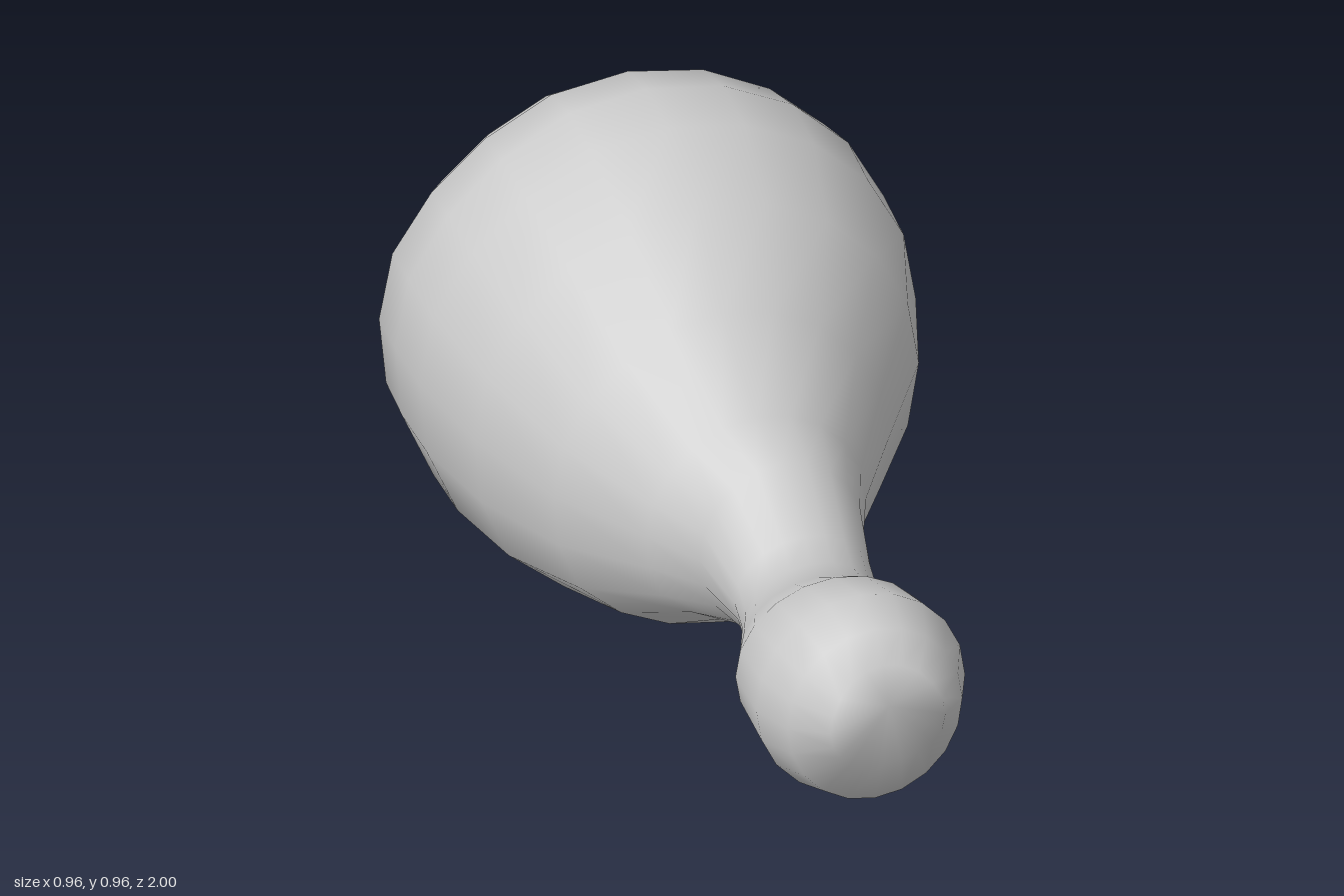
import * as THREE from 'three';

const SIDES = 20;

// Cross-sections from bone tip to meat end: z, xMin, xMax, yMin, yMax
const RINGS = [
  [0.985, -0.11, 0.11, 0.43, 0.65],
  [0.91, -0.165, 0.17, 0.315, 0.69],
  [0.83, -0.2, 0.2, 0.28, 0.715],
  [0.7, -0.2, 0.18, 0.305, 0.67],
  [0.6, -0.16, 0.14, 0.33, 0.605],
  [0.5, -0.125, 0.14, 0.335, 0.565],
  [0.42, -0.115, 0.15, 0.33, 0.57],
  [0.3, -0.145, 0.17, 0.29, 0.655],
  [0.2, -0.215, 0.205, 0.25, 0.695],
  [0, -0.33, 0.31, 0.11, 0.795],
  [-0.2, -0.42, 0.43, 0.03, 0.9],
  [-0.38, -0.47, 0.48, 0.005, 0.955],
  [-0.5, -0.48, 0.48, 0.005, 0.965],
  [-0.6, -0.48, 0.47, 0.03, 0.94],
  [-0.7, -0.42, 0.42, 0.06, 0.865],
  [-0.8, -0.35, 0.35, 0.11, 0.785],
  [-0.9, -0.23, 0.25, 0.23, 0.69],
  [-0.97, -0.1, 0.12, 0.38, 0.6],
];
const SPLIT = 6; // ring where bone meets meat

// Smooth bump around an angle in degrees
const bump = (a, deg, width) => {
  const d = Math.atan2(Math.sin(a - deg * Math.PI / 180), Math.cos(a - deg * Math.PI / 180));
  return Math.exp(-((d / width) ** 2));
};

function ringPoint([z, x0, x1, y0, y1], j) {
  const a = (j / SIDES) * Math.PI * 2;
  let r = 1;
  if (z < 0.3) {
    // Fuller lower left side, flatter upper left
    r += 0.05 * bump(a, 215, 0.35) - 0.03 * bump(a, 135, 0.3);
    // Sunken patch behind a ridge on the upper back
    r -= 0.11 * bump(a, 45, 0.5) * Math.exp(-(((z + 0.76) / 0.13) ** 2));
  }
  return [
    (x0 + x1) / 2 + (x1 - x0) / 2 * r * Math.cos(a),
    (y0 + y1) / 2 + (y1 - y0) / 2 * r * Math.sin(a),
    // Shallow notch between the two knuckles of the bone tip
    z > 0.95 ? z + 0.015 * Math.cos(2 * a) : z,
  ];
}

export function createModel() {
  const group = new THREE.Group();
  group.name = 'drumstick';

  // Shared surface points, with a pole at each end
  const points = RINGS.flatMap((ring) => Array.from({ length: SIDES }, (_, j) => ringPoint(ring, j)));
  const frontPole = points.push([0.01, 0.56, 0.975]) - 1;
  const backPole = points.push([0, 0.5, -1]) - 1;

  const bone = [];
  const meat = [];
  for (let j = 0; j < SIDES; j++) {
    const k = (j + 1) % SIDES;
    bone.push(frontPole, j, k);
    for (let i = 0; i < RINGS.length - 1; i++) {
      const a = i * SIDES + j, b = i * SIDES + k;
      const c = a + SIDES, d = b + SIDES;
      (i < SPLIT ? bone : meat).push(a, c, b, b, c, d);
    }
    const last = (RINGS.length - 1) * SIDES;
    meat.push(backPole, last + k, last + j);
  }

  // Normals come from the whole surface so the two parts join smoothly
  const whole = new THREE.BufferGeometry();
  whole.setAttribute('position', new THREE.Float32BufferAttribute(points.flat(), 3));
  whole.setIndex([...bone, ...meat]);
  whole.computeVertexNormals();

  const material = new THREE.MeshStandardMaterial({ color: 0xcccccc });
  for (const [name, index] of Object.entries({ bone, meat })) {
    const geometry = whole.clone();
    geometry.setIndex(index);
    const mesh = new THREE.Mesh(geometry, material);
    mesh.name = name;
    group.add(mesh);
  }
  return group;
}
